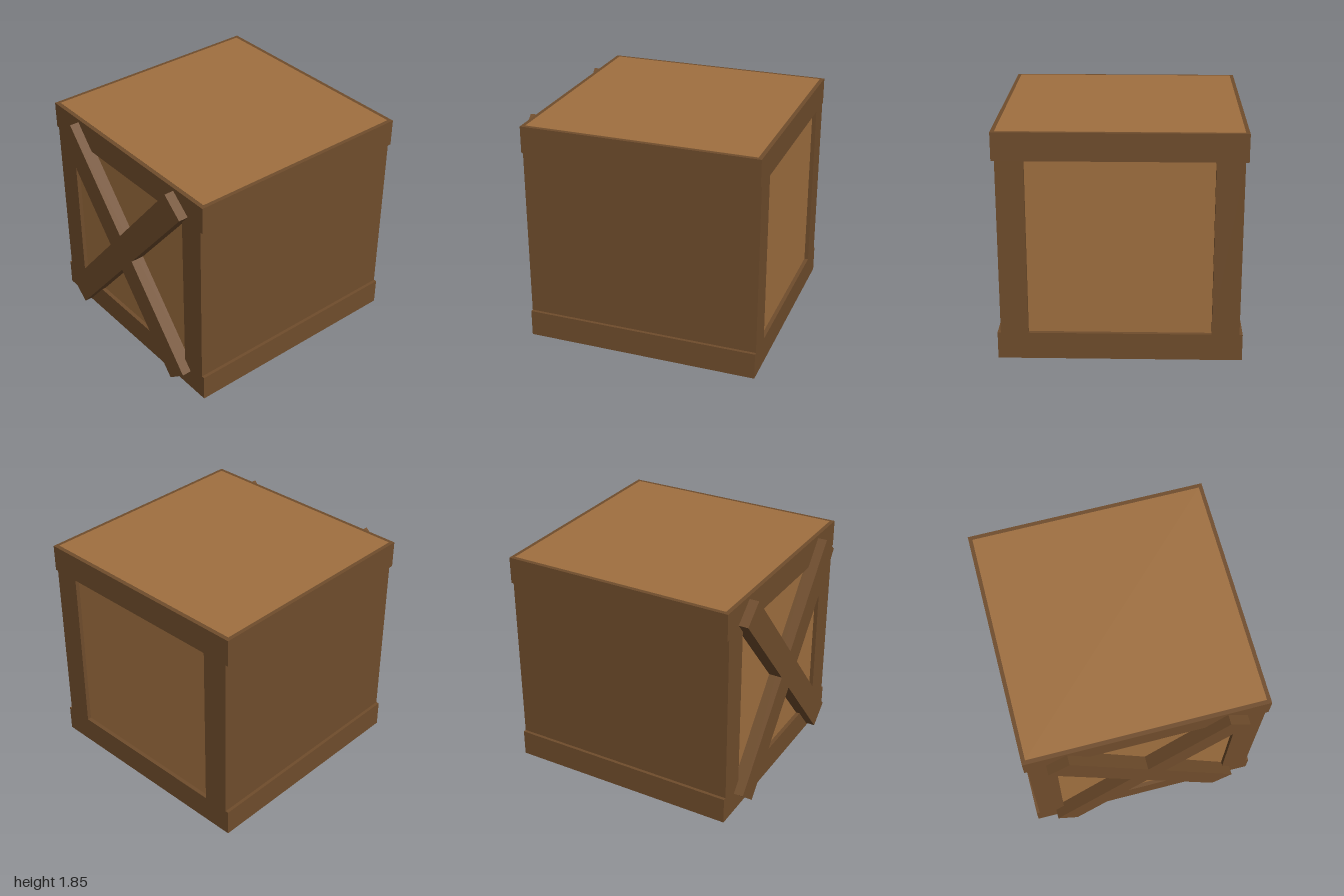
import * as THREE from 'three';

export function createModel() {
  const crate = new THREE.Group();
  crate.name = 'crate';
  const panelWood = new THREE.MeshStandardMaterial({ color: 0xa07040 });
  panelWood.name = 'light wood';
  const frameWood = new THREE.MeshStandardMaterial({ color: 0x704d2c });
  frameWood.name = 'dark wood';

  const H = 1.853, BACK = -1, FRONT = 0.922;
  const depth = FRONT - BACK, midZ = (FRONT + BACK) / 2;

  function box(name, material, size, position) {
    const mesh = new THREE.Mesh(new THREE.BoxGeometry(...size), material);
    mesh.name = name;
    mesh.position.set(...position);
    crate.add(mesh);
    return mesh;
  }

  // Light core, recessed behind the frame and just proud of its top and bottom
  box('panels', panelWood, [1.86, H, depth - 0.066], [0, H / 2, midZ]);

  // Top and bottom frame slabs
  const slab = 0.222, lip = 0.002;
  box('bottomFrame', frameWood, [1.922, slab - lip, depth], [0, (slab + lip) / 2, midZ]);
  box('topFrame', frameWood, [1.922, slab - lip, depth], [0, H - (slab + lip) / 2, midZ]);

  // Side boards and crossed front braces
  for (const side of [-1, 1]) {
    const label = side > 0 ? 'left' : 'right';
    box(label + 'Side', frameWood, [0.217, H - 2 * slab, depth], [side * 0.8265, H / 2, midZ]);
    const braceBack = 0.888;
    const brace = box(label + 'Brace', frameWood, [2.175, 0.221, 1 - braceBack],
      [0, H / 2, (1 + braceBack) / 2]);
    brace.rotation.z = side * Math.atan2(1.655, 1.41);
  }
  return crate;
}
